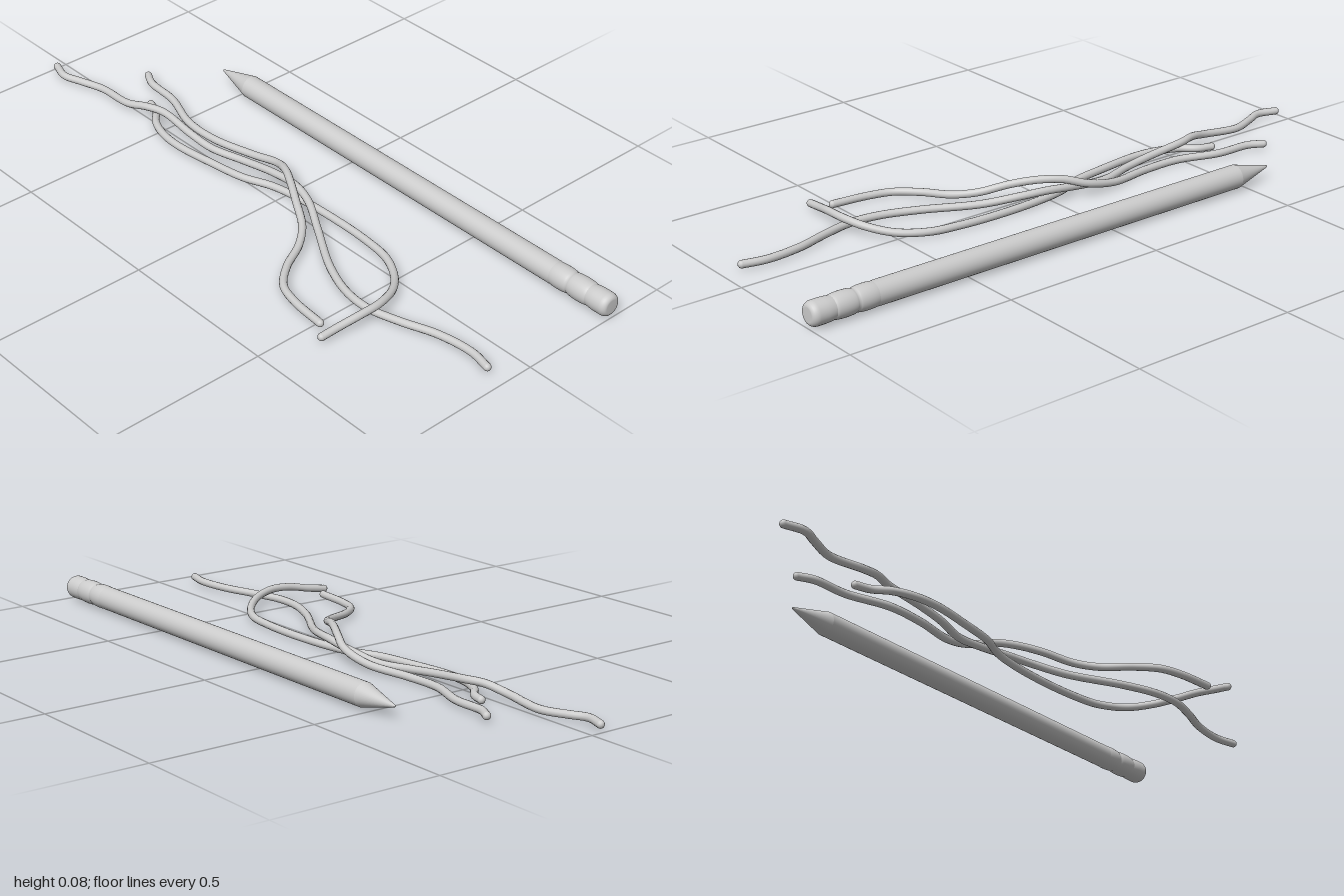
import * as THREE from 'three';

const material = new THREE.MeshStandardMaterial({ color: 0xcccccc });
const STRAND_RADIUS = 0.0115;

function addMesh(parent, name, geometry) {
  const mesh = new THREE.Mesh(geometry, material);
  mesh.name = name;
  parent.add(mesh);
  return mesh;
}

// Lathe whose profile is given as [x along the pencil, radius], turned to lie along x
function turned(profile) {
  const points = profile.map(([x, r]) => new THREE.Vector2(r, -x)).reverse();
  return new THREE.LatheGeometry(points, 40).rotateZ(Math.PI / 2);
}

// Loose cord through [x, y, z] points, with rounded ends
function strand(name, path) {
  const group = new THREE.Group();
  group.name = name;
  const points = path.map((p) => new THREE.Vector3(...p));
  const curve = new THREE.CatmullRomCurve3(points, false, 'centripetal');
  addMesh(group, name + 'Cord', new THREE.TubeGeometry(curve, 160, STRAND_RADIUS, 12));
  for (const end of [points[0], points[points.length - 1]]) {
    addMesh(group, name + 'End', new THREE.SphereGeometry(STRAND_RADIUS, 12, 8)).position.copy(end);
  }
  return group;
}

function createPencil() {
  const pencil = new THREE.Group();
  pencil.name = 'pencil';
  addMesh(pencil, 'sharpenedTip', turned([[-0.6, 0], [-0.597, 0.003], [-0.47, 0.035]]));
  addMesh(pencil, 'shaft', turned([[-0.47, 0.035], [0.8, 0.035]]));

  // Ferrule with two soft swellings
  const ferrule = [];
  for (let i = 0; i <= 32; i++) {
    const t = i / 32;
    ferrule.push([0.79 + 0.14 * t, 0.0315 + 0.0045 * Math.sqrt(Math.abs(Math.sin(t * Math.PI * 2)))]);
  }
  addMesh(pencil, 'ferrule', turned(ferrule));

  // Eraser with a rounded rim
  const eraser = [[0.925, 0.0315], [0.94, 0.034], [0.955, 0.035], [0.98, 0.035]];
  for (let i = 1; i <= 6; i++) {
    const a = (i / 6) * Math.PI / 2;
    eraser.push([0.98 + 0.02 * Math.sin(a), 0.02 + 0.015 * Math.cos(a)]);
  }
  eraser.push([1, 0]);
  addMesh(pencil, 'eraser', turned(eraser));
  pencil.position.set(0, 0.038, -0.313);
  return pencil;
}

export function createModel() {
  const model = new THREE.Group();
  model.name = 'pencilAndStrands';
  model.add(createPencil());

  // Strand that arches over the others in the middle
  model.add(strand('archedStrand', [
    [-0.755, 0.018, -0.138], [-0.71, 0.018, -0.117], [-0.6, 0.016, -0.108], [-0.47, 0.014, -0.066],
    [-0.35, 0.013, -0.064], [-0.2, 0.02, -0.091], [-0.1, 0.042, -0.094], [-0.03, 0.064, -0.066],
    [0.03, 0.067, -0.032], [0.1, 0.058, 0.01], [0.18, 0.038, 0.058], [0.23, 0.026, 0.115],
    [0.275, 0.018, 0.2], [0.33, 0.014, 0.26], [0.4, 0.013, 0.283], [0.515, 0.013, 0.295],
  ]));

  // Longest strand, lifted where it crosses the hooked one
  model.add(strand('longStrand', [
    [-0.985, 0.018, 0.043], [-0.925, 0.018, 0.059], [-0.87, 0.016, 0.04], [-0.79, 0.015, 0.014],
    [-0.66, 0.026, 0.017], [-0.59, 0.04, 0], [-0.53, 0.041, -0.018], [-0.4, 0.027, -0.017],
    [-0.31, 0.018, -0.023], [-0.2, 0.016, -0.053], [-0.08, 0.03, -0.064], [0.02, 0.04, -0.059],
    [0.1, 0.036, -0.037], [0.2, 0.02, 0.018], [0.35, 0.013, 0.107], [0.46, 0.012, 0.148],
    [0.55, 0.012, 0.155], [0.65, 0.013, 0.131], [0.76, 0.015, 0.095], [0.87, 0.016, 0.083],
    [0.938, 0.016, 0.097],
  ]));

  // Strand that hooks round towards the front
  model.add(strand('hookedStrand', [
    [-0.628, 0.012, -0.046], [-0.585, 0.012, -0.032], [-0.54, 0.012, 0.005], [-0.48, 0.012, 0.029],
    [-0.4, 0.012, 0.038], [-0.25, 0.012, 0.021], [-0.14, 0.012, 0.002], [-0.05, 0.012, -0.033],
    [0.05, 0.012, -0.05], [0.2, 0.012, -0.057], [0.33, 0.013, -0.052], [0.42, 0.014, -0.037],
    [0.5, 0.018, 0.008], [0.555, 0.03, 0.07], [0.582, 0.039, 0.145], [0.582, 0.037, 0.21],
    [0.57, 0.024, 0.28], [0.564, 0.016, 0.334],
  ]));
  return model;
}
